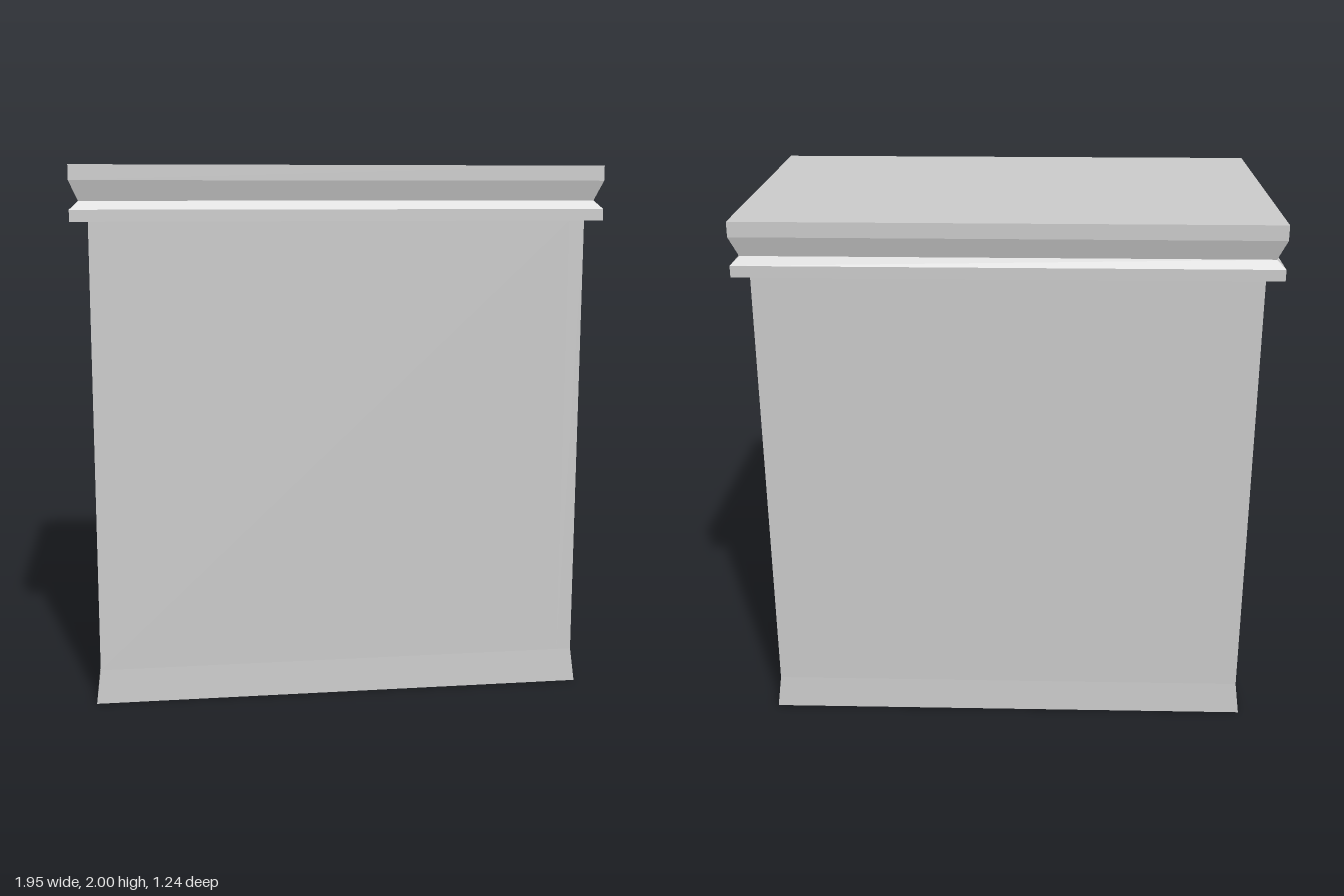
import * as THREE from 'three';

const material = new THREE.MeshStandardMaterial({ color: 0xcccccc, flatShading: true });

// Closed stack of rectangles; each section is [halfWidth, halfDepth, y]
function rectLoft(sections) {
  const corners = sections.map(([w, d, y]) => [[w, y, d], [w, y, -d], [-w, y, -d], [-w, y, d]]);
  const positions = [];
  const quad = (a, b, c, d) => positions.push(...a, ...b, ...c, ...a, ...c, ...d);
  for (let i = 0; i < corners.length - 1; i++) {
    for (let k = 0; k < 4; k++) {
      const n = (k + 1) % 4;
      quad(corners[i][k], corners[i][n], corners[i + 1][n], corners[i + 1][k]);
    }
  }
  const top = corners[corners.length - 1];
  quad(top[0], top[1], top[2], top[3]);
  quad(corners[0][3], corners[0][2], corners[0][1], corners[0][0]);
  const geometry = new THREE.BufferGeometry();
  geometry.setAttribute('position', new THREE.Float32BufferAttribute(positions, 3));
  geometry.computeVertexNormals();
  return geometry;
}

function rectangle(Type, x0, x1, y0, y1) {
  const r = new Type();
  r.moveTo(x0, y0);
  r.lineTo(x1, y0);
  r.lineTo(x1, y1);
  r.lineTo(x0, y1);
  r.closePath();
  return r;
}

// Upright panel facing +x, starting at the given x
function sidePanel(outline, holes, depth, x) {
  outline.holes.push(...holes);
  const geometry = new THREE.ExtrudeGeometry(outline, { depth, bevelEnabled: false });
  return geometry.rotateY(Math.PI / 2).translate(x, 0, 0);
}

export function createModel() {
  const group = new THREE.Group();
  const add = (name, geometry) => {
    const mesh = new THREE.Mesh(geometry, material);
    mesh.name = name;
    group.add(mesh);
  };

  const halfW = 0.913, halfD = 0.595;
  const baseTop = 0.13, wallTop = 1.8;
  const paneX = halfW - 0.055;

  // Flared base
  add('base', rectLoft([[0.93, 0.6, 0], [halfW, halfD, baseTop]]));

  // Main block, its right face forming the window panes
  const block = new THREE.BoxGeometry(halfW + paneX, wallTop - baseTop, halfD * 2);
  add('body', block.translate((paneX - halfW) / 2, (wallTop + baseTop) / 2, 0));

  // Right wall with the window opening
  add('windowWall', sidePanel(
    rectangle(THREE.Shape, -halfD, halfD, baseTop, wallTop),
    [rectangle(THREE.Path, -0.442, 0.442, 0.5, 1.71)],
    halfW - paneX, paneX));

  // Recessed lattice of glazing bars
  const columns = [[-0.43, -0.158], [-0.136, 0.136], [0.158, 0.43]];
  const rows = [[0.513, 0.887], [0.92, 1.293], [1.328, 1.5], [1.53, 1.7]];
  const openings = rows.flatMap(([y0, y1]) =>
    columns.map(([x0, x1]) => rectangle(THREE.Path, x0, x1, y0, y1)));
  add('windowBars', sidePanel(
    rectangle(THREE.Shape, -0.442, 0.442, 0.5, 1.71), openings, 0.03, paneX));

  // Moulded cornice with a pinched waist
  add('cornice', rectLoft([
    [0.977, 0.62, wallTop],
    [0.977, 0.62, 1.842],
    [0.945, 0.6, 1.873],
    [0.977, 0.62, 1.945],
    [0.977, 0.62, 2],
  ]));

  return group;
}
